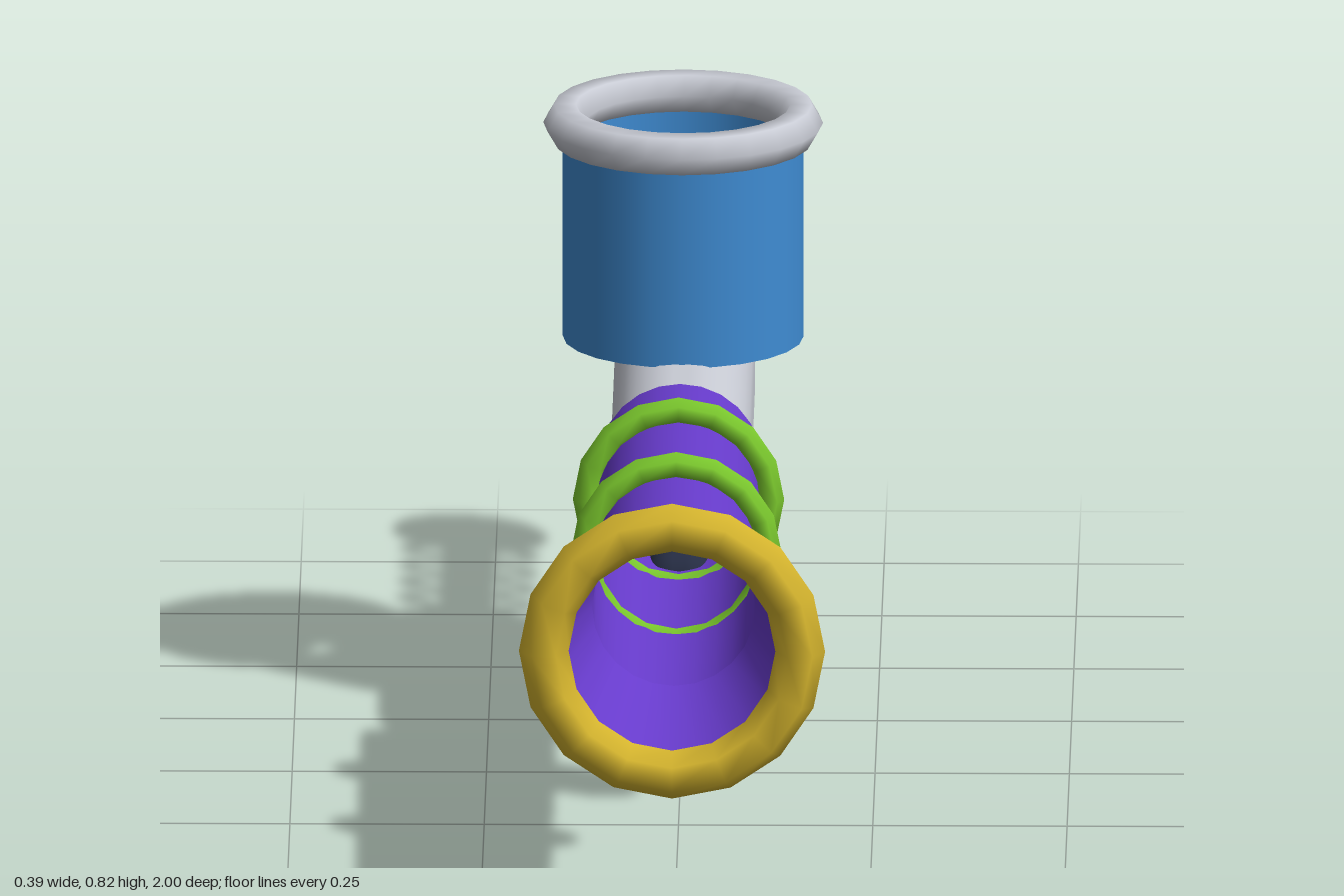
import * as THREE from 'three';
import { RoundedBoxGeometry } from 'three/addons/geometries/RoundedBoxGeometry.js';

const material = (name, color, side = THREE.FrontSide) => {
  const m = new THREE.MeshStandardMaterial({ color, side });
  m.name = name;
  return m;
};

export function createModel() {
  const purple = material('purple', 0x673bcb, THREE.DoubleSide);
  const blue = material('blue', 0x3f8cd3, THREE.DoubleSide);
  const steel = material('paleGrey', 0xc8cbd4);
  const gold = material('gold', 0xd9b82f);
  const green = material('green', 0x7cca2e);
  const navy = material('navy', 0x252c42);
  const red = material('red', 0xdc4747);
  const cyan = material('cyan', 0x3cc5d8);
  const orange = material('orange', 0xe08327);

  const model = new THREE.Group();
  model.name = 'toyBlaster';
  const add = (name, geometry, mat, x, y, z) => {
    const mesh = new THREE.Mesh(geometry, mat);
    mesh.name = name;
    mesh.position.set(x, y, z);
    model.add(mesh);
    return mesh;
  };
  // Ring around the long axis
  const ring = (name, mat, radius, tube, y, z, sides = 16) =>
    add(name, new THREE.TorusGeometry(radius, tube, 6, sides), mat, 0, y, z);
  const AXIS = 0.445;

  // Body
  add('body', new RoundedBoxGeometry(0.18, 0.215, 0.62, 4, 0.08), steel, 0, 0.417, -0.245);

  // Open barrel with a flared muzzle
  const tube = new THREE.CylinderGeometry(0.105, 0.105, 0.69, 24, 1, true).rotateX(Math.PI / 2);
  add('barrel', tube, purple, 0, AXIS, 0.415);
  const flare = new THREE.CylinderGeometry(0.16, 0.105, 0.2, 24, 1, true).rotateX(Math.PI / 2);
  add('muzzleFlare', flare, purple, 0, AXIS, 0.86);
  ring('muzzleRing', gold, 0.165, 0.032, AXIS, 0.969);
  for (const z of [0.245, 0.505]) ring('barrelRing', green, 0.118, 0.018, AXIS, z);

  // Hopper, open at both ends, with its rim
  const HOPPER_Z = -0.267;
  add('hopper', new THREE.CylinderGeometry(0.155, 0.155, 0.285, 24, 1, true), blue, 0, 0.6625, HOPPER_Z);
  const rim = new THREE.TorusGeometry(0.152, 0.028, 6, 24).rotateX(Math.PI / 2);
  add('hopperRim', rim, steel, 0, 0.805, HOPPER_Z);

  // Loose balls in the hopper
  for (const [mat, x, y, z] of [
    [cyan, -0.05, 0.68, -0.35],
    [orange, 0.055, 0.69, -0.215],
    [green, 0, 0.675, -0.3],
    [red, 0.065, 0.59, -0.33],
    [gold, -0.065, 0.58, -0.225],
  ]) add('ball', new THREE.SphereGeometry(0.05, 16, 12), mat, x, y, z);

  // Raked grips
  const grip = (name, height, y, z, angle) => {
    const mesh = add(name, new RoundedBoxGeometry(0.086, height, 0.115, 3, 0.035), navy, 0, y, z);
    mesh.rotation.x = THREE.MathUtils.degToRad(angle);
  };
  grip('rearGrip', 0.36, 0.192, -0.4, 15);
  grip('foreGrip', 0.23, 0.251, 0.147, 10);

  // Trigger guard: lower half ring
  const guard = new THREE.TorusGeometry(0.073, 0.012, 6, 8, Math.PI).rotateZ(Math.PI).rotateY(Math.PI / 2);
  add('triggerGuard', guard, navy, 0, 0.295, -0.288);

  // Tail rod, coils and end ball
  const rod = new THREE.CylinderGeometry(0.029, 0.029, 0.36, 12).rotateX(Math.PI / 2);
  add('tailRod', rod, steel, 0, 0.44, -0.69);
  for (let i = 0; i < 4; i++) ring('tailCoil', steel, 0.068, 0.011, 0.44, -0.592 - i * 0.077, 12);
  add('tailBall', new THREE.SphereGeometry(0.084, 18, 12), red, 0, 0.44, -0.916);

  return model;
}
